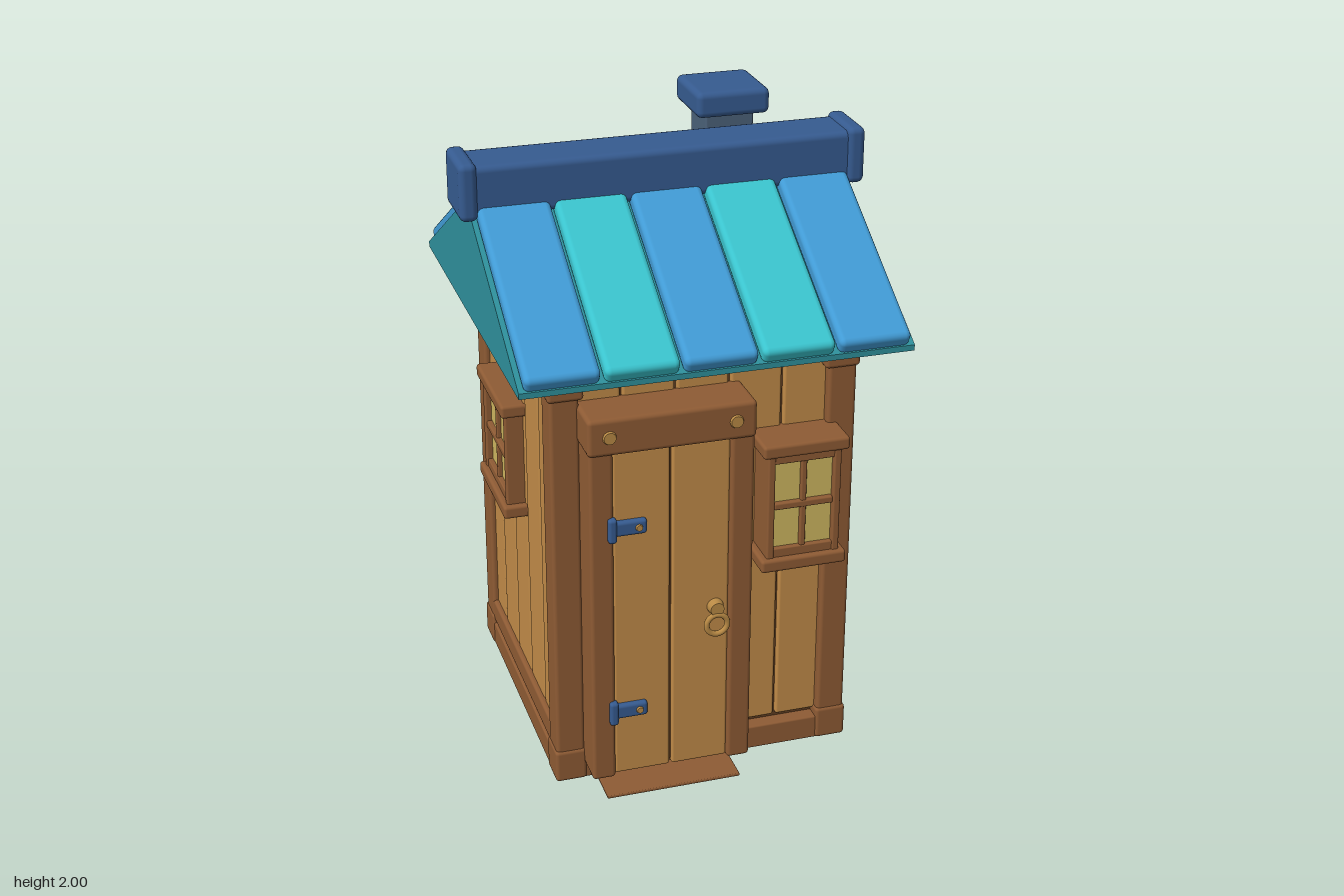
import * as THREE from 'three';
import { RoundedBoxGeometry } from 'three/addons/geometries/RoundedBoxGeometry.js';

function mat(name, color) {
  const m = new THREE.MeshStandardMaterial({ color });
  m.name = name;
  return m;
}

export function createModel() {
  const tan = mat('plank wood', 0xc18b48);
  const brown = mat('frame wood', 0x8e5b34);
  const seam = mat('dark wood', 0x5f3c20);
  const blue = mat('blue roof', 0x419bd5);
  const teal = mat('teal roof', 0x3ac4ce);
  const deepTeal = mat('gable teal', 0x2e909c);
  const navy = mat('navy trim', 0x365b90);
  const slate = mat('chimney slate', 0x4b6179);
  const glass = mat('yellow glass', 0xcfb760);
  const gold = mat('brass', 0xb98a45);

  const root = new THREE.Group();
  root.name = 'woodenHut';

  function group(name, parent = root) {
    const g = new THREE.Group();
    g.name = name;
    parent.add(g);
    return g;
  }
  // Rounded box given by its limits on each axis
  function box(parent, name, m, x0, x1, y0, y1, z0, z1, r = 0.01) {
    const w = x1 - x0, h = y1 - y0, d = z1 - z0;
    const rad = Math.min(r, Math.min(w, h, d) * 0.45);
    const mesh = new THREE.Mesh(new RoundedBoxGeometry(w, h, d, 2, rad), m);
    mesh.position.set((x0 + x1) / 2, (y0 + y1) / 2, (z0 + z1) / 2);
    mesh.name = name;
    parent.add(mesh);
    return mesh;
  }
  // Short round stud facing +z
  function stud(parent, name, m, x, y, z, r, depth) {
    const mesh = new THREE.Mesh(new THREE.CylinderGeometry(r * 0.8, r, depth, 16), m);
    mesh.rotation.x = Math.PI / 2;
    mesh.position.set(x, y, z);
    mesh.name = name;
    parent.add(mesh);
  }

  // Wall core, floor and base rails
  const body = group('body');
  box(body, 'wallCore', seam, -0.44, 0.44, 0.02, 1.41, -0.44, 0.44);
  box(body, 'floor', brown, -0.475, 0.475, 0, 0.08, -0.485, 0.485, 0.006);
  box(body, 'doorstep', brown, -0.35, 0.08, 0, 0.01, 0.4, 0.62, 0.003);

  // Planks on the four walls
  const planks = group('wallPlanks');
  for (let i = -2; i <= 2; i++) {
    const c = i * 0.176, h = 0.084;
    for (const s of [-1, 1]) {
      const a = s * 0.43, b = s * 0.457;
      const lo = Math.min(a, b), hi = Math.max(a, b);
      box(planks, 'sidePlank', tan, lo, hi, 0.09, 1.41, c - h, c + h, 0.008);
      const x = i * 0.167;
      box(planks, 'endPlank', tan, x - 0.0795, x + 0.0795, 0.095, 1.41, lo, hi, 0.008);
    }
  }
  for (const s of [-1, 1]) {
    box(body, 'sideRail', brown, s * 0.455 - 0.018, s * 0.455 + 0.018, 0.09, 0.167, -0.4, 0.4);
  }
  box(body, 'backRail', brown, -0.4, 0.4, 0.09, 0.165, -0.48, -0.44);

  // Corner posts with head and foot blocks
  for (const sx of [-1, 1]) for (const sz of [-1, 1]) {
    const post = group('cornerPost');
    const block = (name, y0, y1, w, d, ox, oz) => box(post, name, brown,
      sx * ox - w / 2, sx * ox + w / 2, y0, y1, sz * oz - d / 2, sz * oz + d / 2, 0.012);
    block('shaft', 0.05, 1.41, 0.09, 0.1, 0.43, 0.436);
    block('head', 1.305, 1.395, 0.11, 0.12, 0.427, 0.435);
    block('foot', 0, 0.11, 0.1, 0.11, 0.43, 0.437);
  }

  // Doorway: frame, planks, hinges and knocker
  const door = group('door');
  box(door, 'doorCore', seam, -0.37, 0.1, 0.07, 1.25, 0.45, 0.57);
  for (const x of [-0.388, 0.045]) box(door, 'doorPost', brown, x, x + 0.073, 0.058, 1.2, 0.44, 0.595, 0.012);
  box(door, 'lintel', brown, -0.393, 0.12, 1.17, 1.288, 0.44, 0.605, 0.014);
  box(door, 'doorPlank', tan, -0.315, -0.14, 0.065, 1.17, 0.54, 0.584, 0.008);
  box(door, 'doorPlank', tan, -0.133, 0.045, 0.065, 1.17, 0.54, 0.584, 0.008);
  for (const x of [-0.328, 0.056]) stud(door, 'lintelPeg', gold, x, 1.23, 0.606, 0.023, 0.012);
  for (const y of [0.295, 0.925]) {
    const hinge = group('hinge', door);
    box(hinge, 'barrel', navy, -0.335, -0.308, y - 0.04, y + 0.04, 0.58, 0.612);
    box(hinge, 'strap', navy, -0.32, -0.214, y - 0.024, y + 0.024, 0.575, 0.602);
    stud(hinge, 'rivet', gold, -0.24, y, 0.604, 0.012, 0.008);
  }
  const knocker = group('knocker', door);
  stud(knocker, 'knockerMount', gold, 0.003, 0.61, 0.595, 0.027, 0.03);
  const ring = new THREE.Mesh(new THREE.TorusGeometry(0.033, 0.009, 10, 28), gold);
  ring.position.set(0.003, 0.557, 0.605);
  ring.name = 'knockerRing';
  knocker.add(ring);

  // Window facing +z around its own centre; d is how far the sills stand out
  function makeWindow(name, w, h, glassW, glassH, d) {
    const g = group(name);
    const W = w / 2, H = h / 2, gw = glassW / 2, gh = glassH / 2, f = d - 0.015;
    const in2 = W - 0.02;
    box(g, 'pane', glass, -gw - 0.005, gw + 0.005, -gh - 0.005, gh + 0.005, -0.02, f - 0.02, 0.002);
    for (const s of [-1, 1]) {
      const yo = s * (H - 0.021);
      box(g, 'sill', brown, -W, W, yo - 0.021, yo + 0.021, -0.02, d);
      const xo = s * (in2 + gw) / 2, hw = (in2 - gw) / 2;
      box(g, 'jamb', brown, xo - hw, xo + hw, -H + 0.03, H - 0.03, -0.02, f, 0.006);
      const yr = s * (H - 0.04 + gh) / 2, hr = (H - 0.04 - gh) / 2 + 0.003;
      box(g, 'rail', brown, -in2 + 0.01, in2 - 0.01, yr - hr, yr + hr, -0.02, f - 0.004, 0.004);
    }
    box(g, 'uprightBar', brown, -0.009, 0.009, -gh, gh, 0, f - 0.006, 0.005);
    box(g, 'crossBar', brown, -gw, gw, -0.011, 0.011, 0, f - 0.003, 0.005);
    return g;
  }
  makeWindow('frontWindow', 0.272, 0.425, 0.186, 0.29, 0.138).position.set(0.283, 0.912, 0.457);
  for (const s of [-1, 1]) {
    const win = makeWindow('sideWindow', 0.35, 0.39, 0.255, 0.26, 0.073);
    win.position.set(s * 0.457, 0.927, -0.086);
    win.rotation.y = s * Math.PI / 2;
  }

  // Back hatch: planks, two battens and a diagonal brace
  const hatch = group('backHatch');
  box(hatch, 'hatchCore', seam, -0.235, 0.235, 0.44, 1.0, -0.5, -0.44);
  for (let i = -1; i <= 1; i++) {
    box(hatch, 'hatchPlank', tan, i * 0.165 - 0.079, i * 0.165 + 0.079, 0.432, 1.01, -0.515, -0.45, 0.008);
  }
  for (const s of [-1, 1]) box(hatch, 'hatchEdge', brown, s * 0.247 - 0.007, s * 0.247 + 0.007, 0.432, 1.01, -0.517, -0.45, 0.004);
  for (const y of [0.445, 0.997]) box(hatch, 'batten', brown, -0.27, 0.27, y - 0.026, y + 0.026, -0.56, -0.5);
  const brace = box(hatch, 'brace', brown, -0.024, 0.024, -0.31, 0.31, -0.568, -0.51);
  brace.position.y = 0.716;
  brace.rotation.z = -0.66;

  // Gable block under the roof
  const shape = new THREE.Shape();
  shape.moveTo(-0.625, 1.395);
  shape.lineTo(0.625, 1.395);
  shape.lineTo(0.625, 1.413);
  shape.lineTo(0, 1.772);
  shape.lineTo(-0.625, 1.413);
  const gableGeo = new THREE.ExtrudeGeometry(shape, { depth: 1.19, bevelEnabled: false });
  gableGeo.translate(0, 0, -0.595);
  gableGeo.rotateY(Math.PI / 2);
  const gable = new THREE.Mesh(gableGeo, deepTeal);
  gable.name = 'gable';
  root.add(gable);

  // Striped roof boards on both slopes
  const roof = group('roofBoards');
  for (let i = -2; i <= 2; i++) for (const s of [-1, 1]) {
    const x = i * 0.2345;
    const b = box(roof, 'roofBoard', i % 2 ? teal : blue, x - 0.111, x + 0.111, -0.027, 0.027, -0.352, 0.352, 0.018);
    b.position.set(x, 1.604, s * 0.326);
    b.rotation.x = s * 0.52;
  }

  // Ridge beam with end caps
  const ridge = group('ridge');
  box(ridge, 'ridgeBeam', navy, -0.6, 0.6, 1.74, 1.897, -0.092, 0.088, 0.02);
  for (const s of [-1, 1]) box(ridge, 'ridgeCap', navy, s * 0.605 - 0.028, s * 0.605 + 0.028, 1.732, 1.91, -0.1, 0.1, 0.02);

  // Chimney
  const chimney = group('chimney');
  box(chimney, 'chimneyBase', navy, 0.145, 0.4, 1.63, 1.768, -0.337, -0.08, 0.02);
  box(chimney, 'chimneyShaft', slate, 0.195, 0.35, 1.74, 1.94, -0.287, -0.135, 0.006);
  box(chimney, 'chimneyCap', navy, 0.155, 0.39, 1.918, 2.0, -0.325, -0.093, 0.02);

  return root;
}
